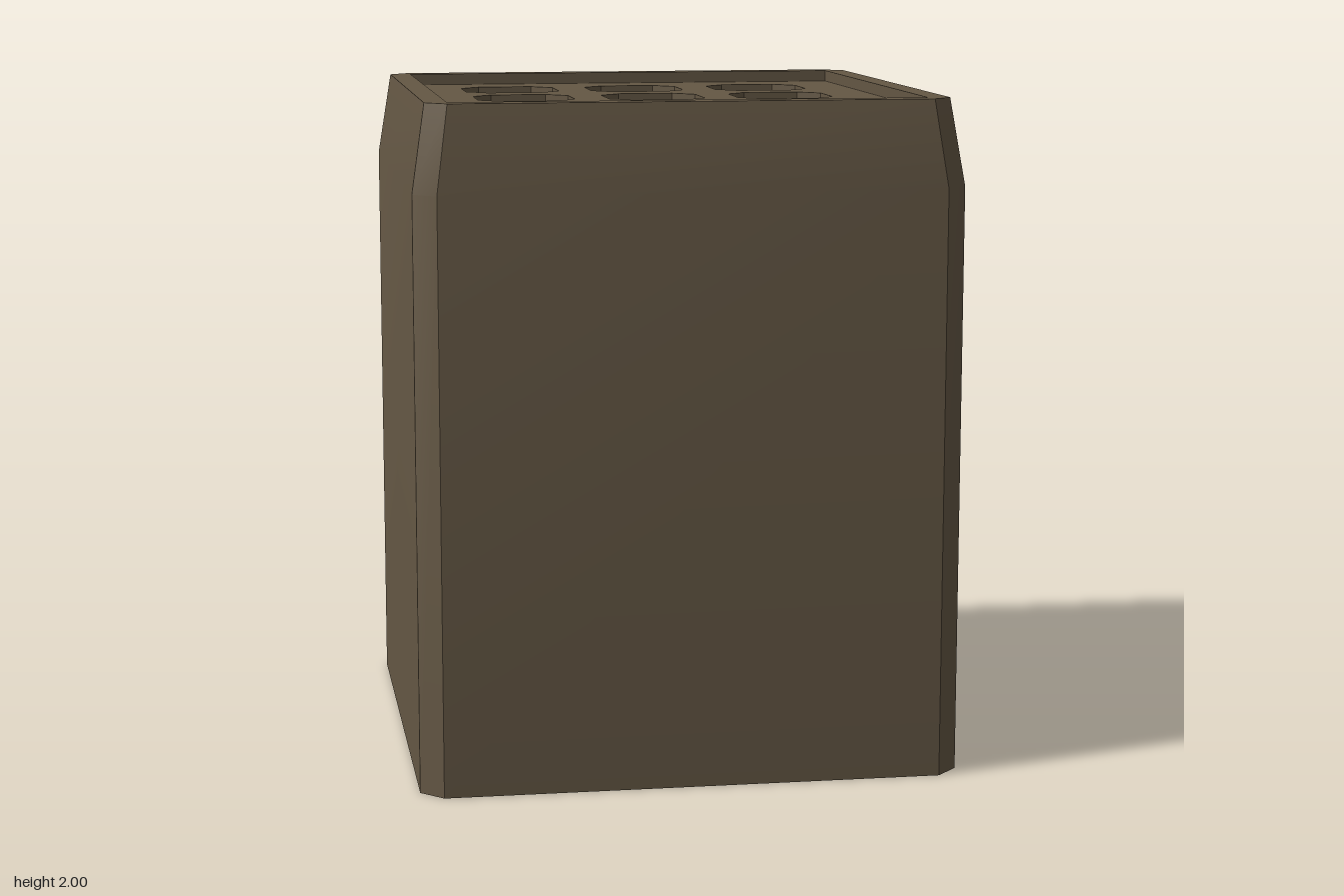
import * as THREE from 'three';
import { toCreasedNormals } from 'three/addons/utils/BufferGeometryUtils.js';

// Corner points of a square with cut corners, counter-clockwise
function cutSquare(half, flat, cx = 0, cy = 0) {
  return [
    [half, -flat], [half, flat], [flat, half], [-flat, half],
    [-half, flat], [-half, -flat], [-flat, -half], [flat, -half],
  ].map(([x, y]) => new THREE.Vector2(cx + x, cy + y));
}

function square(h) {
  return [[-h, -h], [h, -h], [h, h], [-h, h]].map(([x, y]) => new THREE.Vector2(x, y));
}

// Flat plate lying between two heights, with holes
function plate(points, holes, bottom, top) {
  const shape = new THREE.Shape(points);
  shape.holes = holes.map((h) => new THREE.Path(h));
  const geo = new THREE.ExtrudeGeometry(shape, { depth: top - bottom, bevelEnabled: false });
  return geo.rotateX(-Math.PI / 2).translate(0, bottom, 0);
}

// Closed-bottom shell lofted through cut-square sections
function shell(sections) {
  const pos = [], index = [], n = 8;
  for (const [y, half, flat] of sections) {
    for (const p of cutSquare(half, flat)) pos.push(p.x, y, -p.y);
  }
  for (let r = 0; r < sections.length - 1; r++) {
    for (let i = 0; i < n; i++) {
      const a = r * n + i, b = r * n + (i + 1) % n;
      index.push(a, b, b + n, a, b + n, a + n);
    }
  }
  for (let i = 1; i < n - 1; i++) index.push(0, i + 1, i);
  const geo = new THREE.BufferGeometry();
  geo.setAttribute('position', new THREE.Float32BufferAttribute(pos, 3));
  geo.setIndex(index);
  return toCreasedNormals(geo, 0.6);
}

export function createModel() {
  const group = new THREE.Group();
  const casing = new THREE.MeshStandardMaterial({ color: 0x645744 });
  const dark = new THREE.MeshStandardMaterial({ color: 0x2b2727 });
  const add = (name, geo, mat) => {
    const mesh = new THREE.Mesh(geo, mat);
    mesh.name = name;
    group.add(mesh);
  };

  const floorY = 1.965, holeY = 1.935;

  // Casing with a tapered shoulder
  add('body', shell([[0, 0.8, 0.735], [1.745, 0.8, 0.735], [2, 0.76, 0.7]]), casing);

  // Raised rim around the recessed top
  add('topRim', plate(cutSquare(0.76, 0.7), [square(0.695)], holeY - 0.02, 2), casing);

  // Recessed panel with a 3 x 3 grid of openings
  const openings = [];
  for (const x of [-0.4, 0, 0.4]) {
    for (const z of [-0.4, 0, 0.4]) openings.push(cutSquare(0.148, 0.085, x, z));
  }
  add('topPanel', plate(square(0.695), openings, holeY - 0.02, floorY), casing);

  // Dark bottoms of the openings
  openings.forEach((pts, i) => {
    const geo = new THREE.ShapeGeometry(new THREE.Shape(pts));
    add(`openingFloor${i + 1}`, geo.rotateX(-Math.PI / 2).translate(0, holeY, 0), dark);
  });

  return group;
}
